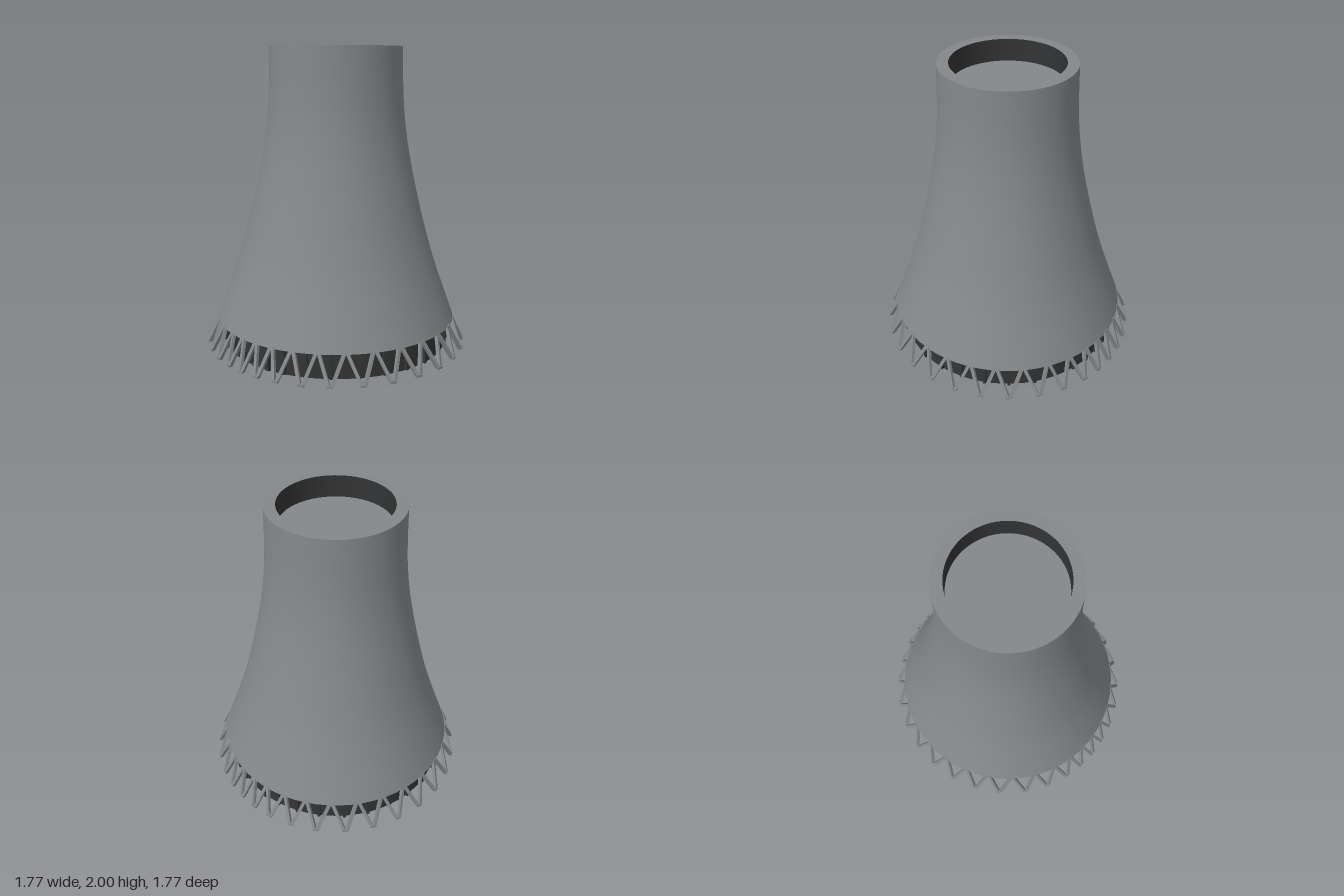
import * as THREE from 'three';

export function createModel() {
  const model = new THREE.Group();
  const concrete = new THREE.MeshStandardMaterial({ color: 0x85888a });
  concrete.name = 'grey concrete';
  const dark = new THREE.MeshStandardMaterial({ color: 0x333435 });
  dark.name = 'dark interior';

  const add = (name, geometry, material) => {
    const mesh = new THREE.Mesh(geometry, material);
    mesh.name = name;
    model.add(mesh);
    return mesh;
  };
  // Profiles run bottom to top for outward faces, inward for upward faces
  const lathe = (points) => new THREE.LatheGeometry(points.map(([r, y]) => new THREE.Vector2(r, y)), 64);

  // Flared shell, following a smooth curve
  const curve = new THREE.SplineCurve([
    [0.81, 0.18], [0.73, 0.4], [0.662, 0.6], [0.605, 0.8], [0.556, 1.0],
    [0.512, 1.2], [0.477, 1.4], [0.454, 1.6], [0.444, 1.8], [0.44, 2.0],
  ].map(([r, y]) => new THREE.Vector2(r, y)));
  add('towerShell', new THREE.LatheGeometry(curve.getPoints(28), 64), concrete);

  // Open mouth: flat rim, recessed wall and floor
  add('topRim', lathe([[0.44, 2], [0.365, 2]]), concrete);
  add('mouthWall', lathe([[0.365, 2], [0.365, 1.85]]), dark);
  add('mouthFloor', lathe([[0.365, 1.85], [0, 1.85]]), concrete);

  // Underside of the shell and the closed core beneath it
  add('shellUnderside', lathe([[0.75, 0.18], [0.81, 0.18]]), dark);
  add('coreWall', lathe([[0.755, 0.003], [0.75, 0.18]]), dark);
  add('coreBase', lathe([[0, 0.003], [0.755, 0.003]]), dark);

  // Foot angles for one quadrant, mirrored around the ring
  const quadrant = [0, 12.3, 24.6, 37, 50, 61.5, 72.5, 81.5];
  const angles = [
    ...quadrant,
    90,
    ...quadrant.slice(1).reverse().map((a) => 180 - a),
    ...quadrant.map((a) => 180 + a),
    270,
    ...quadrant.slice(1).reverse().map((a) => 360 - a),
  ].map(THREE.MathUtils.degToRad);

  const polar = (r, y, a) => new THREE.Vector3(r * Math.cos(a), y, r * Math.sin(a));

  // Square bar between two points, one side facing out from the axis
  const bar = (name, from, to, size) => {
    const axis = to.clone().sub(from);
    const mesh = add(name, new THREE.BoxGeometry(size, axis.length(), size), concrete);
    mesh.position.copy(from).add(to).multiplyScalar(0.5);
    const up = axis.clone().normalize();
    const out = new THREE.Vector3(mesh.position.x, 0, mesh.position.z);
    const side = new THREE.Vector3().crossVectors(up, out).normalize();
    out.crossVectors(side, up);
    mesh.quaternion.setFromRotationMatrix(new THREE.Matrix4().makeBasis(side, up, out));
  };

  // Zigzag ring of V-shaped struts carrying the shell
  const count = angles.length;
  angles.forEach((a, i) => {
    const next = i + 1 < count ? angles[i + 1] : angles[0] + Math.PI * 2;
    const mid = (a + next) / 2;
    bar('strut', polar(0.874, 0.008, a + 0.012), polar(0.8, 0.187, mid - 0.01), 0.021);
    bar('strut', polar(0.874, 0.008, next - 0.012), polar(0.8, 0.187, mid + 0.01), 0.021);

    // Foot joining each pair of struts
    const foot = add('foot', new THREE.BoxGeometry(0.024, 0.016, 0.04), concrete);
    foot.position.copy(polar(0.875, 0.008, a));
    foot.rotation.y = -a;

    // Fin on the core behind the foot
    const fin = add('coreFin', new THREE.BoxGeometry(0.03, 0.17, 0.02), dark);
    fin.position.copy(polar(0.758, 0.092, a));
    fin.rotation.y = -a;
  });

  return model;
}
